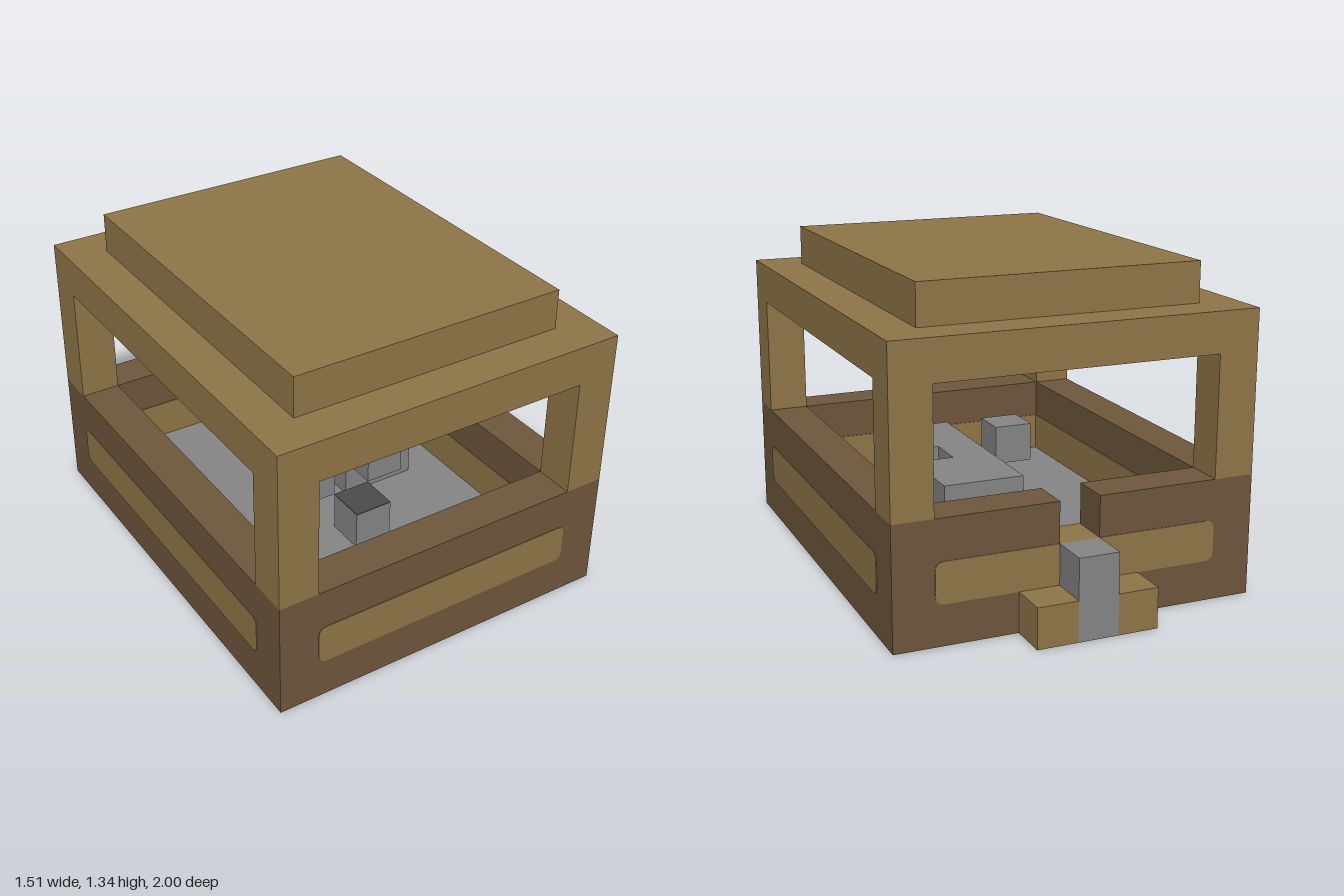
import * as THREE from 'three';

const mat = (name, color) => new THREE.MeshStandardMaterial({ name, color });

export function createModel() {
  const root = new THREE.Group();
  const tan = mat('tan wood', 0x907648), brown = mat('brown wood', 0x6f573d);
  const grey = mat('grey stone', 0x868686), dark = mat('dark grey', 0x4c4c4c);
  const green = mat('green underside', 0x5e9042), blue = mat('blue underside', 0x3755aa);
  const U = 1 / 6; // every part sits on a grid of sixths

  // Box from grid limits; z is counted from the rear edge at z = -1
  function block(name, m, x0, x1, y0, y1, z0, z1, parent = root) {
    const mesh = new THREE.Mesh(
      new THREE.BoxGeometry((x1 - x0) * U, (y1 - y0) * U, (z1 - z0) * U), m);
    mesh.position.set((x0 + x1) / 2 * U, (y0 + y1) / 2 * U, (z0 + z1) / 2 * U - 1);
    mesh.name = name;
    parent.add(mesh);
    return mesh;
  }

  // Lower walls, with a notch in the rear one
  block('floorBase', brown, -4.5, 4.5, 0, 0.96, 1, 12);
  block('frontWall', brown, -4.5, 4.5, 0.96, 3, 11, 12);
  for (const s of [-1, 1]) {
    const [a, b] = s > 0 ? [3.5, 4.5] : [-4.5, -3.5];
    block('sideWall', brown, a, b, 0.96, 3, 2, 11);
    const [c, d] = s > 0 ? [0.5, 4.5] : [-4.5, -0.5];
    block('rearWall', brown, c, d, 0.96, 3, 1, 2);
  }
  block('notchSill', tan, -0.5, 0.5, 0.96, 2, 1, 2);
  block('floorTop', grey, -3.5, 3.5, 0.96, 1, 2, 11);

  // Rounded inlay panels on the outside of the walls
  function panel(name, w, x, z, turn) {
    const h = U, r = 0.035, s = new THREE.Shape();
    s.moveTo(-w / 2 + r, -h / 2);
    s.lineTo(w / 2 - r, -h / 2).quadraticCurveTo(w / 2, -h / 2, w / 2, -h / 2 + r);
    s.lineTo(w / 2, h / 2 - r).quadraticCurveTo(w / 2, h / 2, w / 2 - r, h / 2);
    s.lineTo(-w / 2 + r, h / 2).quadraticCurveTo(-w / 2, h / 2, -w / 2, h / 2 - r);
    s.lineTo(-w / 2, -h / 2 + r).quadraticCurveTo(-w / 2, -h / 2, -w / 2 + r, -h / 2);
    const mesh = new THREE.Mesh(
      new THREE.ExtrudeGeometry(s, { depth: 0.003, bevelEnabled: false, curveSegments: 4 }), tan);
    mesh.position.set(x, 1.5 * U, z);
    mesh.rotation.y = turn;
    mesh.name = name;
    root.add(mesh);
  }
  panel('frontPanel', 7 * U, 0, 1, 0);
  panel('rearPanel', 7 * U, 0, -5 * U, Math.PI);
  for (const s of [-1, 1]) panel('sidePanel', 9 * U, s * 4.5 * U, 0.5 * U, s * Math.PI / 2);

  // Matching bands on the inside of the walls
  block('innerBandFront', tan, -3.5, 3.5, 1, 2, 10.98, 11);
  block('innerBandRear', tan, -3.5, 3.5, 1, 2, 2, 2.02);
  block('innerBandLeft', tan, 3.48, 3.5, 1, 2, 2, 11);
  block('innerBandRight', tan, -3.5, -3.48, 1, 2, 2, 11);

  // Corner posts and stepped roof
  for (const x of [-4.5, 3.5])
    for (const z of [1, 11]) block('cornerPost', tan, x, x + 1, 3, 6, z, z + 1);
  block('roofSlab', tan, -4.5, 4.5, 6, 7, 1, 12);
  block('roofTop', tan, -3.5, 3.5, 7, 8, 2, 11);

  // Rear step with a stone block in the middle
  for (const x of [-1.5, 0.5]) block('rearStep', tan, x, x + 1, 0, 1, 0, 1);
  block('rearStone', grey, -0.5, 0.5, 0, 2, 0, 1);

  // Bench with two arms
  const bench = new THREE.Group();
  bench.name = 'bench';
  root.add(bench);
  block('benchBack', grey, 0.5, 1.5, 1, 3, 3, 7, bench);
  block('benchRearArm', grey, 1.5, 2.5, 1, 3, 3, 5, bench);
  block('benchFrontArm', grey, 1.5, 2.5, 1, 3, 6, 7, bench);

  // Control stand with two raised grips
  const controls = new THREE.Group();
  controls.name = 'controls';
  root.add(controls);
  block('controlColumn', grey, -0.5, 0.5, 1, 1.97, 8, 9, controls);
  block('controlPlate', dark, -0.5, 0.5, 1.97, 2, 8, 9, controls);
  for (const x of [-1.5, 0.5]) block('controlGrip', grey, x, x + 1, 2, 3, 7, 8, controls);

  // Painted underside: green ring with links, blue strip, grey square
  const under = (name, m, x0, x1, z0, z1) => block(name, m, x0, x1, -0.015, 0.01, z0, z1);
  for (const x of [-3.5, 2.5]) under('ringSide', green, x, x + 1, 2, 11);
  under('ringRear', green, -2.5, 2.5, 2, 3);
  under('ringFront', green, -2.5, -0.5, 10, 11);
  under('ringFront', green, 0.5, 2.5, 10, 11);
  under('rearLink', green, -0.5, 0.5, 1, 2);
  under('frontLink', green, -0.5, 0.5, 9, 10);
  under('blueStrip', blue, -0.5, 0.5, 3, 9);
  under('greySquare', grey, -0.5, 0.5, 10, 11);

  return root;
}
